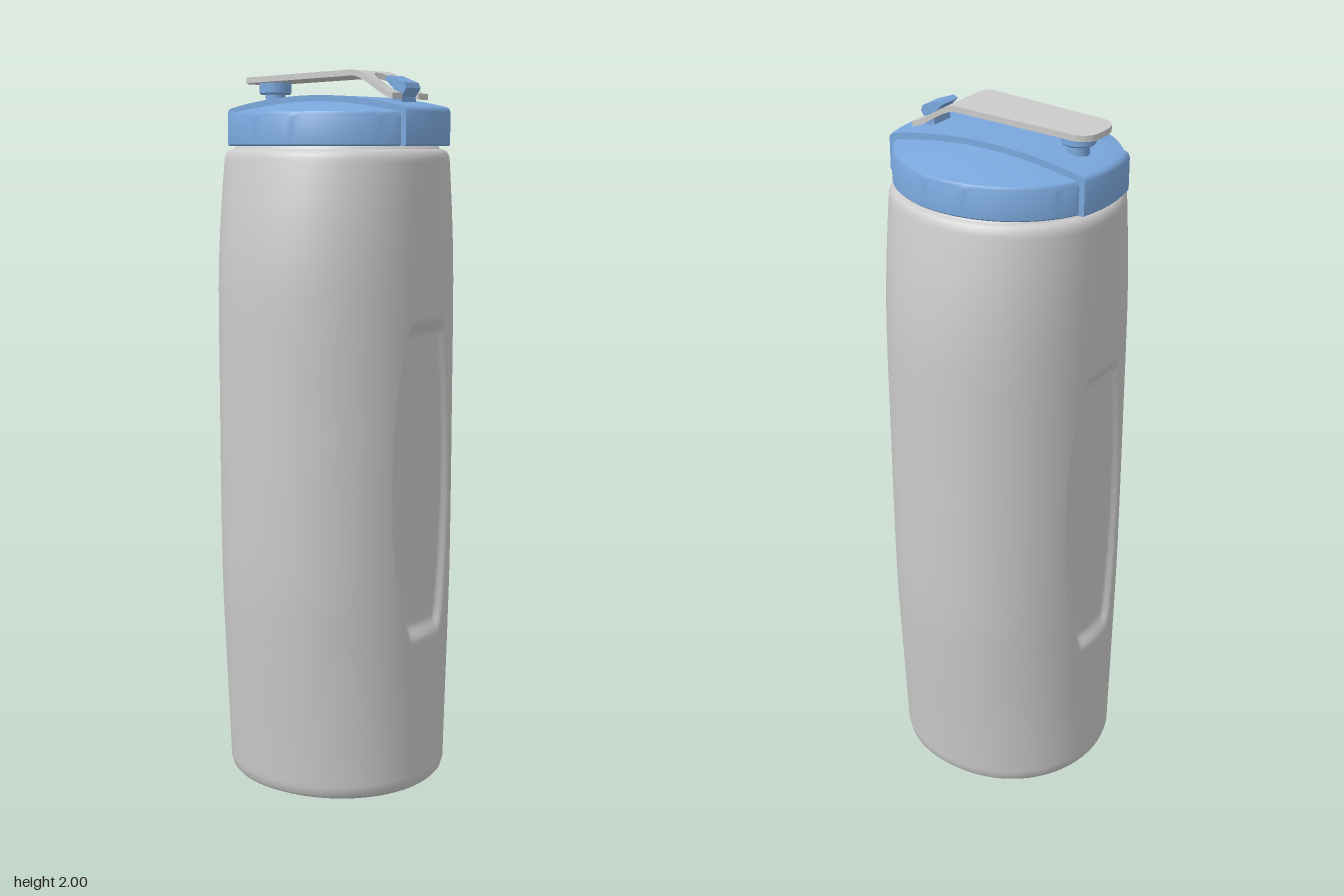
import * as THREE from 'three';
import { toCreasedNormals } from 'three/addons/utils/BufferGeometryUtils.js';

const grey = new THREE.MeshStandardMaterial({ color: 0xcccccc });
const blue = new THREE.MeshStandardMaterial({ color: 0x7aa7dc });
const smooth = (t) => THREE.MathUtils.smoothstep(t, 0, 1);

function addMesh(parent, name, geometry, material) {
  const mesh = new THREE.Mesh(geometry, material);
  mesh.name = name;
  parent.add(mesh);
  return mesh;
}

// Skin a stack of closed loops (arrays of [x, y, z]) into one surface
function loft(loops) {
  const n = loops[0].length;
  const index = [];
  for (let r = 0; r < loops.length - 1; r++) {
    for (let i = 0; i < n; i++) {
      const j = (i + 1) % n;
      const a = r * n + i, b = r * n + j, c = a + n, d = b + n;
      index.push(a, c, b, b, c, d);
    }
  }
  const geometry = new THREE.BufferGeometry();
  geometry.setAttribute('position', new THREE.Float32BufferAttribute(loops.flat(2), 3));
  geometry.setIndex(index);
  geometry.computeVertexNormals();
  return geometry;
}

// Horizontal oval loop; a power above 2 makes it slightly squarer
function oval(rx, rz, y, n, power = 2) {
  const bend = (v) => Math.sign(v) * Math.abs(v) ** (2 / power);
  return Array.from({ length: n }, (_, i) => {
    const t = (i / n) * Math.PI * 2;
    return [rx * bend(Math.cos(t)), y, rz * bend(Math.sin(t))];
  });
}

// Side profile of (z, y) points, extruded across x and centred
function acrossX(points, width, steps = 1) {
  const shape = new THREE.Shape(points.map(([z, y]) => new THREE.Vector2(z, y)));
  const geometry = new THREE.ExtrudeGeometry(shape, { depth: width, steps, bevelEnabled: false });
  return geometry.rotateY(-Math.PI / 2).translate(width / 2, 0, 0);
}

// Bottle with a dished base, swelling sides and grip panels on front and back
function bodyGeometry() {
  const side = new THREE.SplineCurve([
    [0.3, 0.03], [0.315, 0.2], [0.333, 0.4], [0.347, 0.6], [0.351, 0.85], [0.351, 1.1],
    [0.351, 1.35], [0.346, 1.48], [0.332, 1.6], [0.314, 1.7], [0.3, 1.765],
  ].map((p) => new THREE.Vector2(...p))).getSpacedPoints(150);
  const base = [[0, 0, 0.045], [0.1, 0.1, 0.042], [0.19, 0.2, 0.03], [0.25, 0.26, 0.012],
    [0.275, 0.285, 0.001], [0.288, 0.299, 0.002], [0.296, 0.307, 0.011]];
  const rim = [[0.297, 0.309, 1.776], [0.291, 0.303, 1.785], [0.282, 0.294, 1.789],
    [0.272, 0.284, 1.791], [0.27, 0.282, 1.81], [0, 0, 1.81]];
  const rows = [...base, ...side.map((p) => [p.x, 0.313, p.y]), ...rim];
  return loft(rows.map(([rx, rz, y]) => {
    const ring = oval(rx, rz, y, 240, 2.08);
    const t = Math.abs(y - 0.885) / 0.45;
    if (t < 1) {
      const halfWidth = 0.085 + 0.057 * (1 - t * t);
      for (const p of ring) {
        const sink = smooth((halfWidth - Math.abs(p[0])) / 0.03) * smooth((1 - t) * 0.45 / 0.045);
        p[2] -= Math.sign(p[2]) * 0.022 * sink;
      }
    }
    return ring;
  }));
}

// Domed oval lid
function lidGeometry() {
  const rows = [[0, 1.798], [0.985, 1.798], [1, 1.802], [1, 1.872], [0.995, 1.88], [0.98, 1.887]];
  for (let i = 1; i <= 12; i++) {
    const r = 0.98 * (1 - i / 12);
    rows.push([r, 1.925 - 0.04 * r ** 1.8]);
  }
  return toCreasedNormals(loft(rows.map(([s, y]) => oval(0.288 * s, 0.309 * s, y, 96))), 0.7);
}

// Raised band over the lid, its ends following the oval
function bandGeometry() {
  const points = [[-0.312, 1.798], [0.312, 1.798], [0.316, 1.802], [0.316, 1.888], [0.312, 1.897]];
  for (let i = 0; i <= 24; i++) {
    const z = 0.304 - (0.608 * i) / 24;
    points.push([z, 1.934 - 0.032 * (z / 0.304) ** 2]);
  }
  points.push([-0.312, 1.897], [-0.316, 1.888], [-0.316, 1.802]);
  const geometry = acrossX(points, 0.22, 12);
  const p = geometry.attributes.position;
  for (let i = 0; i < p.count; i++) p.setZ(i, p.getZ(i) * Math.sqrt(1 - (p.getX(i) / 0.36) ** 2));
  return toCreasedNormals(geometry, 0.6);
}

// One half of the flip strap: forked at the front, rounded at the back
function strapHalf(sign) {
  const front = 0.242, back = -0.288, rows = 110;
  const loops = [];
  for (let i = 0; i <= rows; i++) {
    const z = THREE.MathUtils.lerp(front, back, i / rows);
    let outer = THREE.MathUtils.mapLinear(z, front, back, 0.087, 0.072);
    if (z < -0.238) outer += Math.sqrt(Math.max(0, 0.05 ** 2 - (z + 0.238) ** 2)) - 0.05;
    let inner = z > 0.175 ? 0.04 : 0;
    if (z <= 0.175 && z > 0.135) inner = Math.sqrt(0.04 ** 2 - (z - 0.175) ** 2);
    const top = 1.936 + 0.064 * smooth((0.255 - z) / 0.15) - 0.013 * Math.max(0, (0.1 - z) / 0.39);
    const loop = [[outer, top], [inner, top], [inner, top - 0.016], [outer, top - 0.016]]
      .map(([x, y]) => [x * sign, y, z]);
    loops.push(sign > 0 ? loop : loop.reverse());
  }
  // Close both ends
  const cap = (loop) => {
    const mid = [0, 1, 2].map((k) => loop.reduce((sum, p) => sum + p[k] / 4, 0));
    return loop.map(() => mid);
  };
  return toCreasedNormals(loft([cap(loops[0]), ...loops, cap(loops[rows])]), 0.6);
}

export function createModel() {
  const model = new THREE.Group();
  model.name = 'drinkBottle';

  addMesh(model, 'body', bodyGeometry(), grey);

  const lid = new THREE.Group();
  lid.name = 'lid';
  model.add(lid);
  addMesh(lid, 'lidDome', lidGeometry(), blue);
  addMesh(lid, 'lidBand', bandGeometry(), blue);

  // Hinge hook between the prongs of the strap
  addMesh(lid, 'hingeHook', acrossX([
    [0.205, 1.9], [0.24, 1.9], [0.236, 1.928], [0.252, 1.95], [0.246, 1.965],
    [0.195, 1.984], [0.181, 1.977], [0.21, 1.95],
  ], 0.07), blue);

  // Strap and the stopper beneath its free end
  const strap = new THREE.Group();
  strap.name = 'strap';
  model.add(strap);
  addMesh(strap, 'strapLeft', strapHalf(1), grey);
  addMesh(strap, 'strapRight', strapHalf(-1), grey);
  const stopper = [[0, 1.9], [0.028, 1.9], [0.028, 1.942], [0.042, 1.942], [0.045, 1.946], [0.045, 1.977], [0, 1.977]];
  const plug = new THREE.LatheGeometry(stopper.map((p) => new THREE.Vector2(...p)), 40);
  addMesh(strap, 'stopper', toCreasedNormals(plug, 0.6), blue).position.z = -0.215;

  return model;
}
